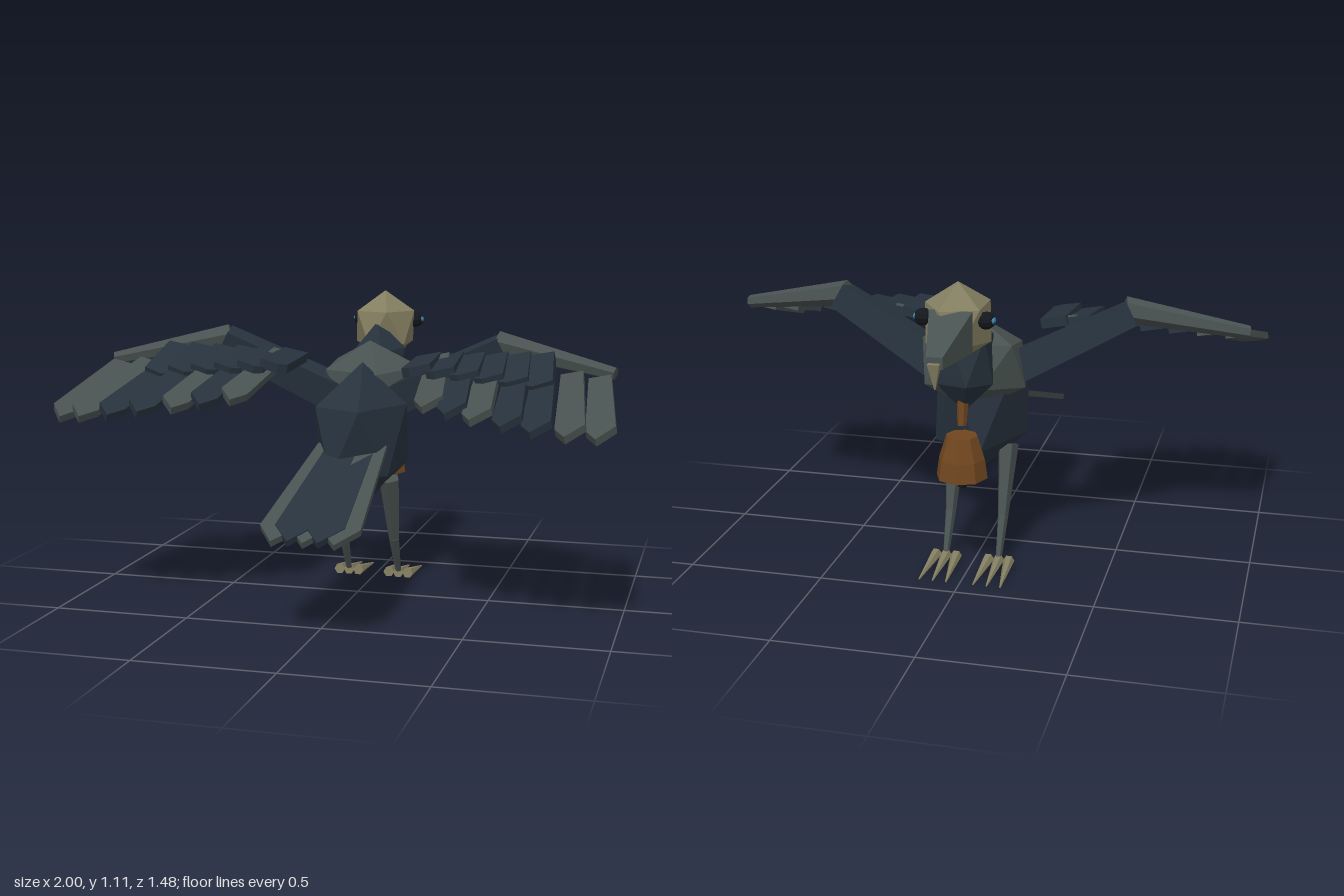
import * as THREE from 'three';

const V = (x, y, z) => new THREE.Vector3(x, y, z);
const paint = (color) => new THREE.MeshStandardMaterial({ color, flatShading: true });

export function createModel() {
  const bird = new THREE.Group();
  bird.name = 'bird';
  const navy = paint(0x27323d), slate = paint(0x485250), tan = paint(0x837e60);
  const brown = paint(0x70461f), black = paint(0x14181c), blue = paint(0x3a86a8);

  const add = (name, geometry, material, parent = bird) => {
    const mesh = new THREE.Mesh(geometry, material);
    mesh.name = name;
    parent.add(mesh);
    return mesh;
  };

  // Faceted ball standing on one vertex, stretched and tilted
  const blob = (name, material, center, radii, tilt = 0) => {
    const g = new THREE.IcosahedronGeometry(1, 0);
    g.rotateZ(-Math.atan(2 / (1 + Math.sqrt(5))));
    g.scale(...radii).rotateX(tilt).translate(...center);
    return add(name, g, material);
  };

  // Tapered bar from a to b
  const limb = (name, material, a, b, r0, r1, sides, parent = bird) => {
    const dir = b.clone().sub(a);
    const g = new THREE.CylinderGeometry(r1, r0, dir.length(), sides);
    g.rotateY(Math.PI / sides);
    const mesh = add(name, g, material, parent);
    mesh.quaternion.setFromUnitVectors(V(0, 1, 0), dir.normalize());
    mesh.position.copy(a).add(b).multiplyScalar(0.5);
    return mesh;
  };

  // Flat feather from base to tip; skew moves the point across the end, roll tilts the blade
  const feather = (name, material, base, tip, w0, w1, point, skew, roll, thick, parent) => {
    const dir = tip.clone().sub(base), len = dir.length();
    dir.normalize();
    const shape = new THREE.Shape([
      [-w0, 0], [w0, 0], [w1, len - point], [skew * w1, len], [-w1, len - point],
    ].map(([x, y]) => new THREE.Vector2(x, y)));
    const g = new THREE.ExtrudeGeometry(shape, { depth: thick, bevelEnabled: false });
    g.translate(0, 0, -thick / 2);
    g.rotateY(roll);
    const side = V(0, 1, 0).cross(dir).normalize();
    const normal = side.clone().cross(dir);
    const mesh = add(name, g, material, parent);
    mesh.quaternion.setFromRotationMatrix(new THREE.Matrix4().makeBasis(side, dir, normal));
    mesh.position.copy(base);
    return mesh;
  };

  // Body masses
  blob('body', navy, [0, 0.598, -0.067], [0.19, 0.275, 0.309]);
  blob('chest', slate, [0, 0.77, -0.205], [0.215, 0.175, 0.165], 0.15);
  blob('neck', navy, [0, 0.82, -0.33], [0.115, 0.19, 0.125], 0.12);
  blob('head', tan, [0, 0.977, -0.42], [0.13, 0.14, 0.15]);

  // Beak: box narrowed towards the tip
  const beak = new THREE.BoxGeometry(1, 1, 1);
  const p = beak.attributes.position;
  for (let i = 0; i < p.count; i++) {
    const tip = p.getZ(i) < 0, top = p.getY(i) > 0;
    p.setXYZ(i, p.getX(i) * (tip ? 0.055 : 0.15), top ? (tip ? 0.938 : 1.04) : 0.898, tip ? -0.727 : -0.52);
  }
  add('beak', beak, slate);
  limb('beakHook', tan, V(0, 0.918, -0.725), V(0, 0.828, -0.722), 0.029, 0.003, 4);

  // Bell on its strap
  limb('bellStrap', brown, V(0, 0.72, -0.36), V(0, 0.59, -0.38), 0.025, 0.016, 6);
  const bell = new THREE.LatheGeometry(
    [[0, 0.4], [0.093, 0.4], [0.083, 0.47], [0.056, 0.555], [0, 0.555]].map(([x, y]) => new THREE.Vector2(x, y)), 8);
  add('bell', bell, brown).position.z = -0.38;
  const clapper = add('bellClapper', new THREE.IcosahedronGeometry(0.027, 0), black);
  clapper.position.set(0, 0.38, -0.38);

  // Tail fan
  for (let i = 0; i < 5; i++) {
    const k = i - 2;
    feather('tailFeather', i % 2 ? navy : slate, V(k * 0.04, 0.575, 0.08),
      V(k * 0.056 + 0.005, 0.355 + 0.004 * (i % 2), 0.735), 0.05, 0.068, 0.1, -Math.sign(k) * 0.05, 0, 0.022, bird);
  }

  for (const s of [1, -1]) {
    const label = s > 0 ? 'left' : 'right';

    // Eye
    const eye = add(label + 'Eye', new THREE.SphereGeometry(1, 8, 6), black);
    eye.scale.set(0.032, 0.03, 0.036);
    eye.position.set(s * 0.11, 1.0, -0.47);
    const iris = add(label + 'Iris', new THREE.SphereGeometry(1, 8, 6), blue);
    iris.scale.set(0.012, 0.012, 0.02);
    iris.position.set(s * 0.132, 1.002, -0.472);

    // Wing bones
    const wing = new THREE.Group();
    wing.name = label + 'Wing';
    bird.add(wing);
    limb('upperWing', navy, V(s * 0.12, 0.735, -0.155), V(s * 0.54, 0.945, -0.055), 0.085, 0.066, 4, wing);
    limb('foreWing', slate, V(s * 0.515, 0.958, -0.06), V(s * 0.948, 0.873, 0.05), 0.048, 0.024, 6, wing);

    // Long flight feathers: tip x and z from the outside in
    const tips = [[0.955, 0.56], [0.86, 0.605], [0.75, 0.615], [0.65, 0.59], [0.54, 0.545], [0.45, 0.51], [0.36, 0.45]];
    tips.forEach(([x, z], i) => {
      feather('flightFeather', i === 2 || i === 3 || i === 5 ? navy : slate,
        V(s * (0.9 - 0.1 * i), 0.855 + 0.008 * i, 0.085 - 0.02 * i),
        V(s * x, 0.715 + 0.011 * i, z), 0.04, 0.05, 0.075, -s * 0.35, s * 0.2, 0.026, wing);
    });

    // Short covering feathers
    for (let i = 0; i < 6; i++) {
      feather('coverFeather', navy, V(s * (0.26 + 0.085 * i), 0.895 + 0.005 * i, -0.06 + 0.018 * i),
        V(s * (0.265 + 0.088 * i), 0.878 - 0.009 * i, 0.215 + 0.005 * i), 0.048, 0.052, 0.02, -s * 0.4, s * 0.2, 0.035, wing);
    }

    // Leg and toes
    const leg = new THREE.Group();
    leg.name = label + 'Leg';
    bird.add(leg);
    const knee = V(s * 0.1, 0.18, -0.17);
    limb('thigh', slate, V(s * 0.1, 0.43, -0.09), knee, 0.04, 0.021, 5, leg);
    limb('shin', slate, knee, V(s * 0.1, 0.035, -0.24), 0.021, 0.012, 5, leg);
    for (const t of [-1, 0, 1]) {
      limb('toe', tan, V(s * 0.1 + t * 0.038, 0.026, -0.235), V(s * 0.1 + t * 0.05, 0.007, -0.43), 0.021, 0.003, 6, leg);
    }
  }
  return bird;
}
